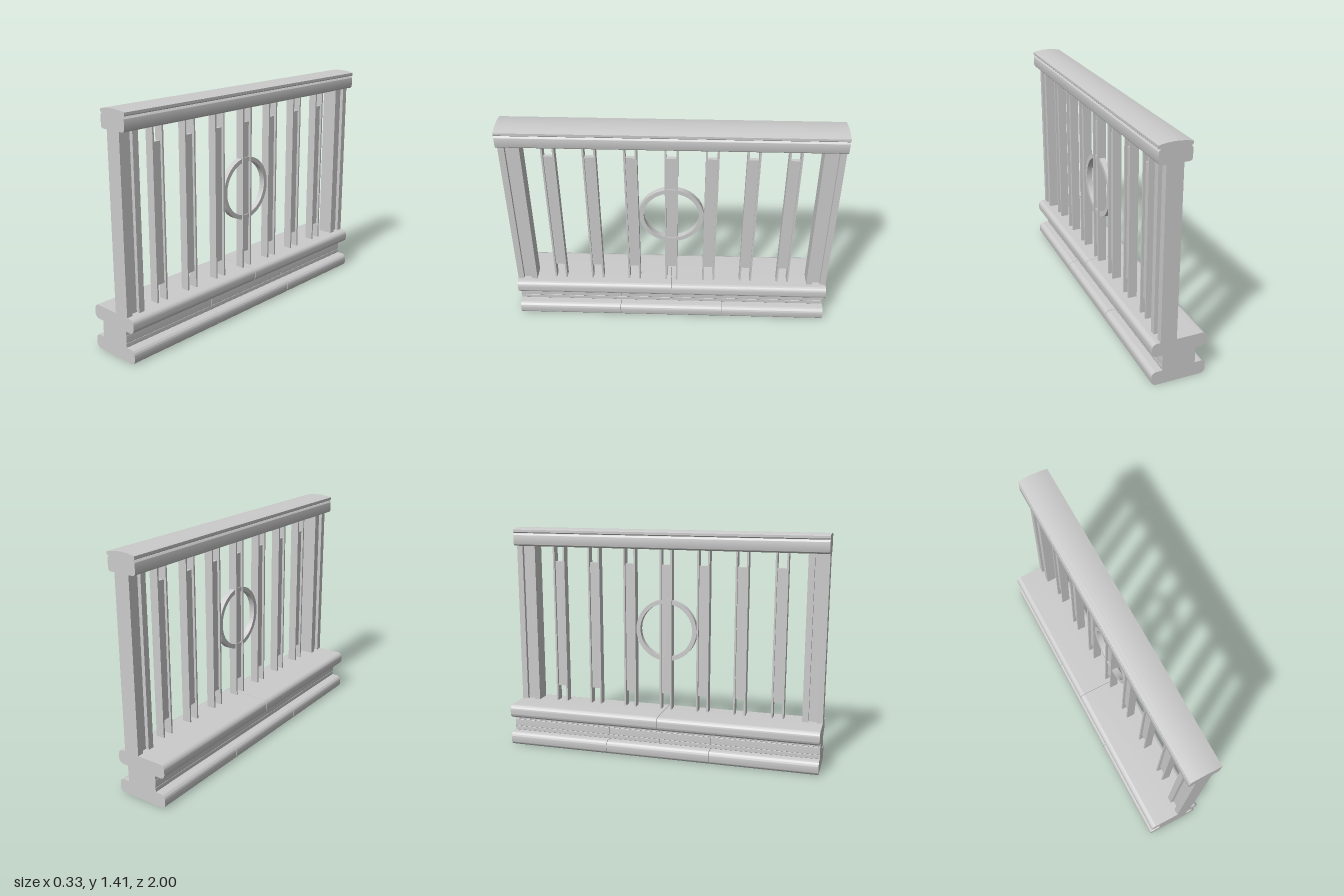
import * as THREE from 'three';
import { toCreasedNormals } from 'three/addons/utils/BufferGeometryUtils.js';

const material = new THREE.MeshStandardMaterial({ color: 0xcccccc });

function add(parent, name, geometry) {
  const mesh = new THREE.Mesh(geometry, material);
  mesh.name = name;
  parent.add(mesh);
  return mesh;
}

function box(parent, name, x0, x1, y0, y1, z0, z1) {
  const mesh = add(parent, name, new THREE.BoxGeometry(x1 - x0, y1 - y0, z1 - z0));
  mesh.position.set((x0 + x1) / 2, (y0 + y1) / 2, (z0 + z1) / 2);
  return mesh;
}

// Cross-section with rounded corners in the x-y plane
function roundedSection(x0, x1, y0, y1, r) {
  const s = new THREE.Shape();
  s.moveTo(x0 + r, y0);
  s.lineTo(x1 - r, y0);
  s.absarc(x1 - r, y0 + r, r, -Math.PI / 2, 0);
  s.absarc(x1 - r, y1 - r, r, 0, Math.PI / 2);
  s.absarc(x0 + r, y1 - r, r, Math.PI / 2, Math.PI);
  s.absarc(x0 + r, y0 + r, r, Math.PI, Math.PI * 1.5);
  return s;
}

// Extrude a section along z, split into equal pieces with hairline joints
function run(parent, name, section, pieces = 1) {
  const gap = pieces > 1 ? 0.003 : 0;
  const length = 2 / pieces;
  for (let i = 0; i < pieces; i++) {
    const start = -1 + i * length + (i > 0 ? gap / 2 : 0);
    const end = -1 + (i + 1) * length - (i < pieces - 1 ? gap / 2 : 0);
    const g = new THREE.ExtrudeGeometry(section, { depth: end - start, bevelEnabled: false, curveSegments: 8 });
    add(parent, name, toCreasedNormals(g, 0.6)).position.z = start;
  }
}

export function createModel() {
  const model = new THREE.Group();
  model.name = 'balustrade';

  // Stone plinth: footing, three recessed courses and coping
  const plinth = new THREE.Group();
  plinth.name = 'plinth';
  model.add(plinth);
  run(plinth, 'footing', roundedSection(-0.165, 0.165, 0, 0.085, 0.03), 3);
  run(plinth, 'lowerCourse', roundedSection(-0.1, 0.1, 0.085, 0.111, 0.002), 2);
  run(plinth, 'middleCourse', roundedSection(-0.1, 0.1, 0.111, 0.159, 0.002), 3);
  run(plinth, 'upperCourse', roundedSection(-0.1, 0.1, 0.159, 0.185, 0.002), 2);
  run(plinth, 'coping', roundedSection(-0.167, 0.165, 0.185, 0.27, 0.03), 2);

  // Handrail with a gently domed cap
  run(model, 'handrail', roundedSection(-0.028, 0.158, 1.3, 1.383, 0.018));
  const cap = new THREE.Shape();
  cap.moveTo(-0.022, 1.383);
  cap.lineTo(0.155, 1.383);
  cap.lineTo(0.161, 1.389);
  cap.lineTo(0.161, 1.404);
  cap.quadraticCurveTo(0.066, 1.426, -0.028, 1.404);
  cap.lineTo(-0.028, 1.389);
  cap.closePath();
  run(model, 'railCap', cap);

  // End posts: two flanges joined by a recessed web
  for (const side of [1, -1]) {
    const post = new THREE.Group();
    post.name = side > 0 ? 'frontPost' : 'backPost';
    const centre = side * 0.9375;
    for (const s of [1, -1]) {
      const z = centre + s * 0.0435;
      box(post, 'flange', 0.018, 0.115, 0.27, 1.3, z - 0.019, z + 0.019);
    }
    box(post, 'web', 0.04, 0.093, 0.27, 1.3, centre - 0.026, centre + 0.026);
    model.add(post);
  }

  // Balusters: paired flat bars with a shorter core between them
  for (let i = -3; i <= 3; i++) {
    const baluster = new THREE.Group();
    baluster.name = 'baluster';
    baluster.position.z = i * 0.24;
    for (const s of [1, -1]) {
      box(baluster, 'flatBar', 0.04, 0.094, 0.27, 1.3, s * 0.034 - 0.0055, s * 0.034 + 0.0055);
    }
    box(baluster, 'core', 0.055, 0.079, 0.37, 1.2, -0.029, 0.029);
    model.add(baluster);
  }

  // Decorative ring around the middle baluster
  const hoop = new THREE.Shape().absarc(0, 0, 0.197, 0, Math.PI * 2);
  hoop.holes.push(new THREE.Path().absarc(0, 0, 0.17, 0, Math.PI * 2, true));
  const hoopGeometry = new THREE.ExtrudeGeometry(hoop, { depth: 0.036, bevelEnabled: false, curveSegments: 48 });
  const ring = add(model, 'ring', toCreasedNormals(hoopGeometry, 0.6));
  ring.rotation.y = Math.PI / 2;
  ring.position.set(0.049, 0.785, 0);

  return model;
}
